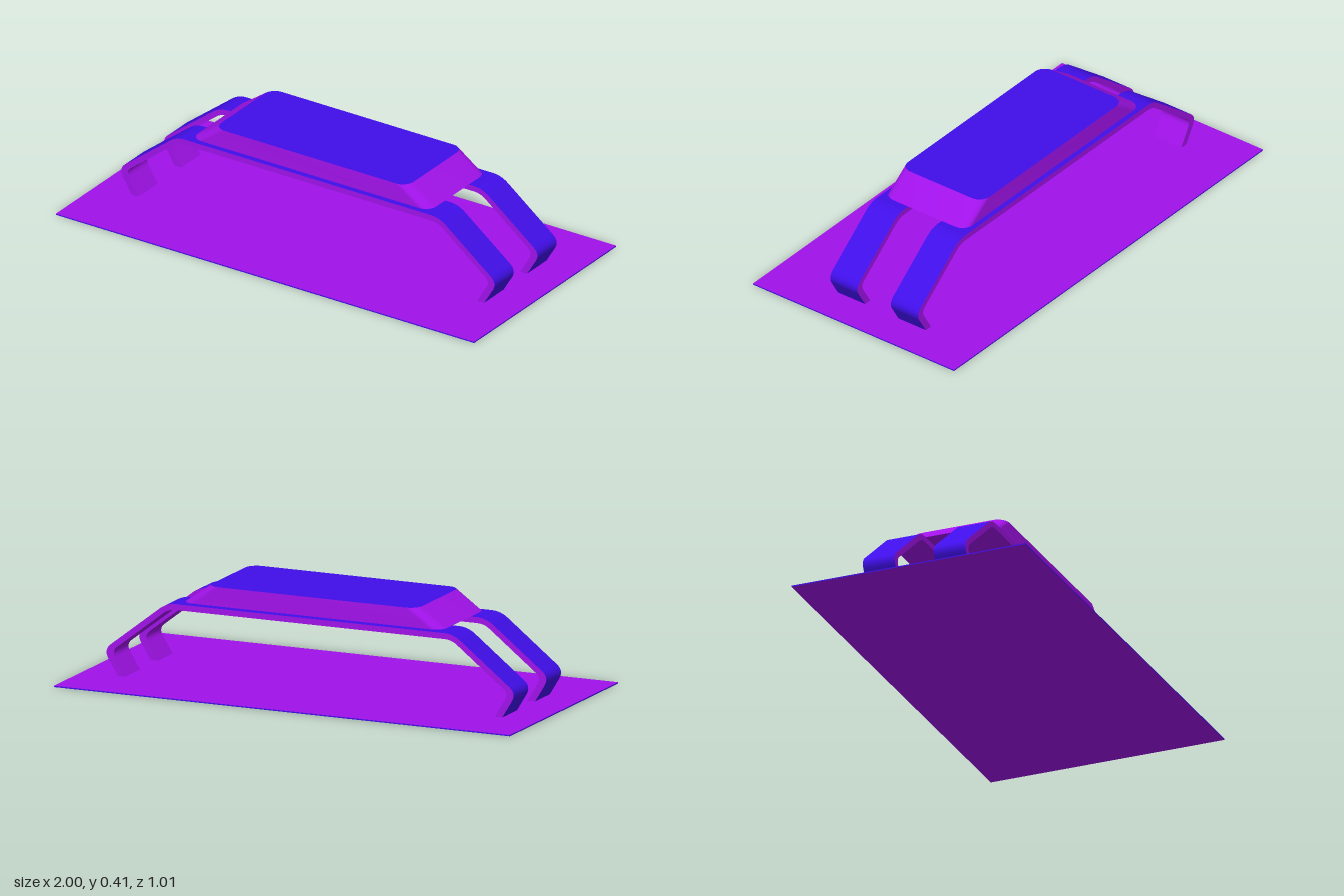
import * as THREE from 'three';
import { toCreasedNormals } from 'three/addons/utils/BufferGeometryUtils.js';

const purple = new THREE.MeshStandardMaterial({ color: 0xa012e8 });
const blue = new THREE.MeshStandardMaterial({ color: 0x400ee8 });

// Mirrored strap outline from the left foot to the right one, corners rounded
function outline(corners, trim) {
  const pts = corners.concat([...corners].reverse().map(([x, y]) => [-x, y]))
    .map(([x, y]) => new THREE.Vector2(x, y));
  const out = [pts[0]];
  for (let i = 1; i < pts.length - 1; i++) {
    const toward = (q) => pts[i].clone().add(q.clone().sub(pts[i]).setLength(trim));
    out.push(...new THREE.QuadraticBezierCurve(toward(pts[i - 1]), pts[i], toward(pts[i + 1])).getPoints(8));
  }
  out.push(pts[pts.length - 1]);
  return out;
}

// Ribbon between two matching rows of points
function ribbon(name, a, za, b, zb, material) {
  const pos = [], index = [];
  a.forEach((p, i) => {
    pos.push(p.x, p.y, za, b[i].x, b[i].y, zb);
    if (i) {
      const k = 2 * i - 2;
      index.push(k, k + 1, k + 2, k + 1, k + 3, k + 2);
    }
  });
  const g = new THREE.BufferGeometry();
  g.setAttribute('position', new THREE.Float32BufferAttribute(pos, 3));
  g.setIndex(index);
  g.computeVertexNormals();
  const mesh = new THREE.Mesh(g, material);
  mesh.name = name;
  return mesh;
}

// Bent flat strap: blue outside, purple inside and edges
function strap(name, back, front) {
  const outer = outline([[-0.84, 0], [-0.905, 0.107], [-0.628, 0.323]], 0.04);
  const inner = outline([[-0.807, 0], [-0.87, 0.104], [-0.62, 0.299]], 0.03);
  const group = new THREE.Group();
  group.name = name;
  group.add(
    ribbon('strapOutside', outer, back, outer, front, blue),
    ribbon('strapInside', inner, front, inner, back, purple),
    ribbon('strapFrontEdge', outer, front, inner, front, purple),
    ribbon('strapBackEdge', inner, back, outer, back, purple)
  );
  return group;
}

// Rounded slab whose two ends slope inward toward the top
function pad() {
  const w = 0.57, d = 0.204, r = 0.05, h = 0.078;
  const s = new THREE.Shape();
  s.moveTo(-w + r, -d);
  s.lineTo(w - r, -d);
  s.absarc(w - r, -d + r, r, -Math.PI / 2, 0);
  s.absarc(w - r, d - r, r, 0, Math.PI / 2);
  s.absarc(-w + r, d - r, r, Math.PI / 2, Math.PI);
  s.absarc(-w + r, -d + r, r, Math.PI, Math.PI * 1.5);
  let g = new THREE.ExtrudeGeometry(s, { depth: h, bevelEnabled: false, curveSegments: 8 });
  g.rotateX(-Math.PI / 2);
  const p = g.attributes.position;
  for (let i = 0; i < p.count; i++) {
    p.setX(i, p.getX(i) - Math.sign(p.getX(i)) * 0.11 * p.getY(i) / h);
  }
  g = toCreasedNormals(g, 0.5);
  // Bottom lid, top lid, walls
  const lids = g.groups[0].count, walls = g.groups[1].count;
  g.clearGroups();
  g.addGroup(0, lids / 2, 0);
  g.addGroup(lids / 2, lids / 2, 1);
  g.addGroup(lids, walls, 0);
  const mesh = new THREE.Mesh(g, [purple, blue]);
  mesh.name = 'pad';
  mesh.position.set(0, 0.328, -0.021);
  return mesh;
}

export function createModel() {
  const model = new THREE.Group();
  model.name = 'strappedPad';

  // Thin base sheet
  const base = new THREE.Mesh(new THREE.BoxGeometry(2, 0.005, 1.01),
    [blue, blue, purple, purple, blue, blue]);
  base.name = 'baseSheet';
  base.position.y = 0.0025;
  model.add(base);

  model.add(strap('frontStrap', 0.063, 0.2));
  model.add(strap('backStrap', -0.242, -0.105));
  model.add(pad());
  return model;
}
